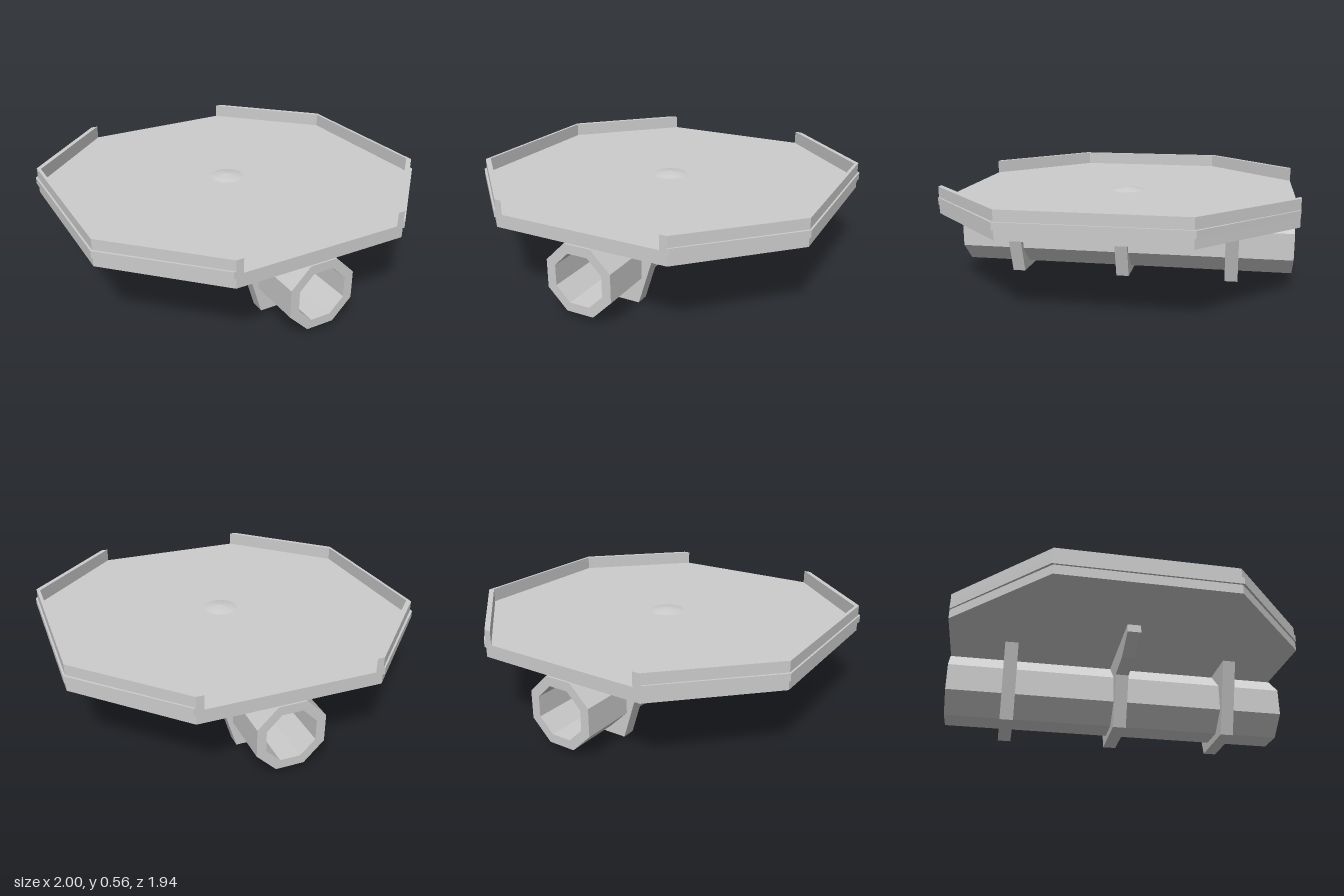
import * as THREE from 'three';

const material = new THREE.MeshStandardMaterial({ color: 0xcccccc, flatShading: true });
const shapeOf = (pts) => new THREE.Shape(pts.map(([x, y]) => new THREE.Vector2(x, y)));
const mirrorX = (pts) => [...pts, ...pts.map(([x, y]) => [-x, y]).reverse()];

// Regular octagon with flat top and bottom; r is the distance to a flat
function octagon(r, cy) {
  return Array.from({ length: 8 }, (_, i) => {
    const a = (i + 0.5) * Math.PI / 4, R = r / Math.cos(Math.PI / 8);
    return [Math.cos(a) * R, cy + Math.sin(a) * R];
  });
}

const extrude = (shape, depth) => new THREE.ExtrudeGeometry(shape, { depth, bevelEnabled: false });
// Plan outline raised from y0 to y1
const slab = (pts, y0, y1) => extrude(shapeOf(pts), y1 - y0).rotateX(-Math.PI / 2).translate(0, y0, 0);

export function createModel() {
  const model = new THREE.Group();
  model.name = 'platform';
  const add = (name, geometry) => {
    const mesh = new THREE.Mesh(geometry, material);
    mesh.name = name;
    model.add(mesh);
  };

  const END = 0.97, BOTTOM = 0.415, FLOOR = 0.488, TOP = 0.565;
  const PIPE_Y = 0.225, PIPE_R = 0.185;

  // Octagonal deck
  add('deck', slab(mirrorX([[0.49, END], [0.99, 0.472], [0.99, -0.472], [0.49, -END]]), BOTTOM, FLOOR));

  // Raised rims on three edges of each side, with a thin band standing proud
  const rimPlan = (s, x, corner, endX) => [
    [endX, END], [x, corner], [x, -corner], [endX, -END],
    [0.45, -END], [0.972, -0.45], [0.972, 0.45], [0.45, END],
  ].map(([px, pz]) => [s * px, pz]);
  for (const s of [1, -1]) {
    const side = s > 0 ? 'left' : 'right';
    add(side + 'Rim', slab(rimPlan(s, 0.99, 0.472, 0.49), FLOOR, TOP));
    add(side + 'Band', slab(rimPlan(s, 1, 0.48, 0.502), 0.467, 0.506));
  }

  // Shallow central cap
  const cap = [[0.11, FLOOR - 0.002], [0.06, 0.497], [0, 0.506]].map(([x, y]) => new THREE.Vector2(x, y));
  add('centreCap', new THREE.LatheGeometry(cap, 14));

  // Hollow octagonal pipe beneath the deck
  const pipe = shapeOf(octagon(PIPE_R, PIPE_Y));
  pipe.holes.push(shapeOf(octagon(0.135, PIPE_Y)));
  add('pipe', extrude(pipe, 2 * END + 0.004).translate(0, 0, -END - 0.002));

  // Brackets clasping the pipe; the middle one carries side arms
  const plain = [[0.165, 0], [0.295, BOTTOM]];
  const armed = [[0.165, 0], [0.255, 0.287], [0.44, 0.302], [0.6, 0.372], [0.6, BOTTOM]];
  const brackets = [['frontBracket', 0.637, plain], ['middleBracket', 0.003, armed], ['backBracket', -0.63, plain]];
  for (const [name, z, half] of brackets) {
    const shape = shapeOf(mirrorX(half));
    shape.holes.push(shapeOf(octagon(PIPE_R - 0.004, PIPE_Y)));
    add(name, extrude(shape, 0.074).translate(0, 0, z - 0.037));
  }
  return model;
}
